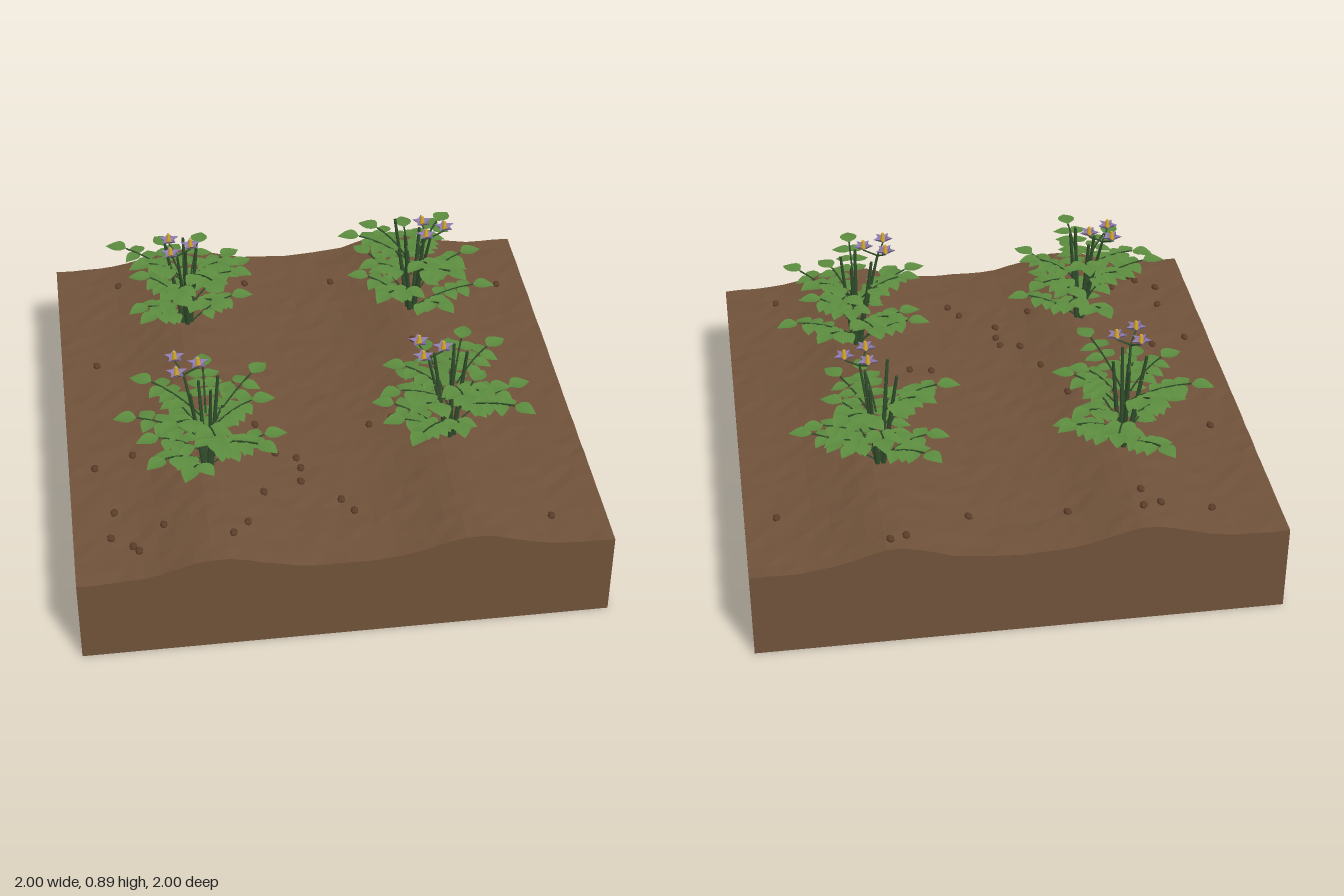
import * as THREE from 'three';
import { mergeGeometries } from 'three/addons/utils/BufferGeometryUtils.js';

const V = (x, y, z) => new THREE.Vector3(x, y, z);
const UP = V(0, 1, 0);

const mat = (color, extra = {}) => new THREE.MeshStandardMaterial({ color, ...extra });
const soilMat = mat(0x70523a, { flatShading: true });
const clodMat = mat(0x5a3d29, { flatShading: true });
const stemMat = mat(0x304d2b);
const leafMat = mat(0x5c8c3f, { side: THREE.DoubleSide });
const petalMat = mat(0x8f7bb0, { side: THREE.DoubleSide, flatShading: true });
const centreMat = mat(0xd8a928);

function seeded(seed) {
  let s = seed;
  return () => (s = (s * 16807) % 2147483647) / 2147483647;
}

function add(group, name, geometry, material) {
  const mesh = new THREE.Mesh(geometry, material);
  mesh.name = name;
  group.add(mesh);
  return mesh;
}

// Two planting ridges run along z
const ridge = (x) => 0.353 + 0.075 * Math.exp(-(((Math.abs(x) - 0.47) / 0.2) ** 2));
function soilHeight(x, z) {
  const n = Math.sin(x * 127.1 + z * 311.7) * 43758.5453;
  return ridge(x) + (n - Math.floor(n) - 0.5) * 0.006;
}

function soilBlock() {
  const geo = new THREE.BoxGeometry(2, 1, 2, 32, 1, 32);
  const p = geo.attributes.position;
  for (let i = 0; i < p.count; i++) {
    const x = Math.round(p.getX(i) * 16) / 16, z = Math.round(p.getZ(i) * 16) / 16;
    p.setXYZ(i, x, p.getY(i) > 0 ? soilHeight(x, z) : 0, z);
  }
  geo.computeVertexNormals();
  return geo;
}

// Ovate leaflet along +z, folded at the midrib with a drooping tip
function leaflet() {
  const geo = new THREE.PlaneGeometry(1, 1, 2, 6).rotateX(-Math.PI / 2);
  const p = geo.attributes.position;
  for (let i = 0; i < p.count; i++) {
    const t = p.getZ(i) + 0.5;
    const width = Math.sin(Math.PI * Math.pow(t, 0.72)) * 0.8;
    const x = p.getX(i) * width;
    p.setXYZ(i, x, Math.abs(x) * 0.2 - 0.12 * t * t, t);
  }
  geo.computeVertexNormals();
  return geo;
}
const leafletGeo = leaflet();

function placeLeaflet(pos, dir, length) {
  const side = new THREE.Vector3().crossVectors(UP, dir).normalize();
  const up = new THREE.Vector3().crossVectors(dir, side);
  const m = new THREE.Matrix4().makeBasis(side, up, dir).setPosition(pos);
  return leafletGeo.clone().scale(length, length, length).applyMatrix4(m);
}

// Round tapering stem between two points
function rod(a, b, r0, r1, sides = 6) {
  const d = b.clone().sub(a), len = d.length();
  const q = new THREE.Quaternion().setFromUnitVectors(UP, d.normalize());
  return new THREE.CylinderGeometry(r1, r0, len, sides, 1)
    .translate(0, len / 2, 0).applyQuaternion(q).translate(a.x, a.y, a.z);
}

// Compound leaf: arched stalk, paired leaflets and one at the tip
function compoundLeaf(angle, reach, tipY, stems, leaves, rand) {
  const c = Math.cos(angle), s = Math.sin(angle);
  const at = (r, y) => V(c * r, y, s * r);
  const end = reach - 0.04;
  const curve = new THREE.QuadraticBezierCurve3(
    at(0.025, tipY - 0.11), at(end * 0.5, tipY - 0.03), at(end, tipY));
  stems.push(new THREE.TubeGeometry(curve, 6, 0.0035, 4));
  for (const t of [0.36, 0.57, 0.78]) {
    for (const sgn of [-1, 1]) {
      const a = angle + sgn * (0.95 + rand() * 0.25);
      const dir = V(Math.cos(a), 0.12 * (rand() - 0.4), Math.sin(a)).normalize();
      leaves.push(placeLeaflet(curve.getPoint(t), dir, 0.066 + rand() * 0.014));
    }
  }
  leaves.push(placeLeaflet(curve.getPoint(1), V(c, 0.08, s).normalize(), 0.088));
}

// Star-shaped bowl of five petals, opening upward
function petals() {
  const geo = new THREE.ConeGeometry(0.042, 0.024, 10, 1, true).rotateX(Math.PI);
  const p = geo.attributes.position;
  for (let i = 0; i < p.count; i++) {
    if (p.getY(i) < 0) continue;
    const k = Math.round(Math.atan2(p.getZ(i), p.getX(i)) / (Math.PI / 5) + 20.5);
    if (k % 2) p.setXYZ(i, p.getX(i) * 0.5, p.getY(i), p.getZ(i) * 0.5);
  }
  geo.computeVertexNormals();
  return geo;
}

function plant({ x, z, flower, tips }, index) {
  const group = new THREE.Group();
  group.name = 'plant' + (index + 1);
  group.position.set(x, 0, z);
  const rand = seeded(71 + index * 997);
  const stems = [], leaves = [], bowls = [], centres = [];

  // Main stems fan out from the crown
  for (let i = 0; i < 4; i++) {
    const a = i * 1.57 + index * 0.6, r = 0.05 + rand() * 0.035;
    stems.push(rod(V(Math.cos(a) * 0.012, 0.4, Math.sin(a) * 0.012),
      V(Math.cos(a) * r, 0.79 + rand() * 0.06, Math.sin(a) * r), 0.011, 0.006));
  }

  // Outer leaves reach the listed tips, at staggered heights
  tips.forEach(([tx, tz], i) => {
    const dx = tx - x, dz = tz - z;
    const y = 0.55 + ((i * 3 + index) % 8) * 0.033;
    compoundLeaf(Math.atan2(dz, dx), Math.hypot(dx, dz), y, stems, leaves, rand);
  });
  // Inner leaves fill the bush
  for (let i = 0; i < 10; i++) {
    compoundLeaf(i * 2.4 + index, 0.18 + rand() * 0.05, 0.54 + i * 0.026, stems, leaves, rand);
  }

  // Flower stalk with three blooms
  const fork = V(flower[0] - x, 0.82, flower[1] - z);
  stems.push(rod(V(0, 0.4, 0), fork, 0.011, 0.005));
  for (let i = 0; i < 3; i++) {
    const a = i * Math.PI * 2 / 3;
    const head = V(fork.x + Math.cos(a) * 0.056, 0.85, fork.z + Math.sin(a) * 0.056);
    stems.push(rod(fork, head, 0.004, 0.003, 5));
    bowls.push(petals().translate(head.x, 0.862, head.z));
    centres.push(new THREE.CylinderGeometry(0.006, 0.011, 0.034, 6).translate(head.x, 0.877, head.z));
  }

  add(group, 'stems', mergeGeometries(stems), stemMat);
  add(group, 'leaflets', mergeGeometries(leaves), leafMat);
  add(group, 'petals', mergeGeometries(bowls), petalMat);
  add(group, 'flowerCentres', mergeGeometries(centres), centreMat);
  return group;
}

// Plant crown, flower cluster and outer leaf positions (x, z)
const PLANTS = [
  { x: -0.47, z: -0.47, flower: [-0.505, -0.38], tips: [[-0.59, -0.71], [-0.39, -0.75], [-0.74, -0.58],
    [-0.67, -0.36], [-0.56, -0.22], [-0.36, -0.21], [-0.23, -0.6], [-0.25, -0.38]] },
  { x: 0.47, z: -0.45, flower: [0.527, -0.377], tips: [[0.29, -0.67], [0.47, -0.71], [0.21, -0.49],
    [0.32, -0.27], [0.62, -0.25], [0.76, -0.4], [0.72, -0.51], [0.62, -0.63]] },
  { x: -0.47, z: 0.47, flower: [-0.543, 0.4], tips: [[-0.37, 0.24], [-0.25, 0.26], [-0.21, 0.46],
    [-0.26, 0.66], [-0.45, 0.73], [-0.67, 0.62], [-0.77, 0.46], [-0.7, 0.36]] },
  { x: 0.48, z: 0.4, flower: [0.38, 0.42], tips: [[0.42, 0.11], [0.56, 0.18], [0.76, 0.32],
    [0.72, 0.6], [0.48, 0.65], [0.31, 0.64], [0.23, 0.48], [0.23, 0.33]] },
];

// Clods scattered on the soil (x, z)
const CLODS = [
  [-0.74, -0.84], [-0.54, -0.85], [-0.47, -0.87], [-0.48, -0.77], [-0.2, -0.79], [-0.86, -0.3],
  [-0.46, -0.12], [-0.33, -0.05], [0.42, -0.92], [0.48, -0.94], [0.17, -0.76], [0.88, -0.66],
  [0.55, -0.16], [0.58, -0.08], [0.44, -0.22], [-0.69, 0.07], [-0.63, 0.12], [-0.26, 0.19],
  [-0.9, 0.35], [-0.75, 0.3], [-0.2, 0.36], [-0.12, 0.39], [-0.11, 0.45], [-0.12, 0.53],
  [0.19, 0.23], [0.28, 0.22], [-0.84, 0.62], [-0.86, 0.76], [-0.78, 0.82], [-0.76, 0.85],
  [-0.66, 0.74], [-0.41, 0.86], [-0.35, 0.79], [0.02, 0.65], [0.06, 0.72], [0.79, 0.85], [-0.27, 0.6],
];

export function createModel() {
  const model = new THREE.Group();
  model.name = 'gardenBed';
  add(model, 'soil', soilBlock(), soilMat);

  const rand = seeded(4242);
  const clods = CLODS.map(([x, z]) => new THREE.SphereGeometry(1, 7, 5)
    .scale(0.015, 0.012, 0.02).rotateY((rand() - 0.5) * 0.8)
    .translate(x, ridge(x) + 0.004, z));
  add(model, 'clods', mergeGeometries(clods), clodMat);

  PLANTS.forEach((p, i) => model.add(plant(p, i)));
  return model;
}
